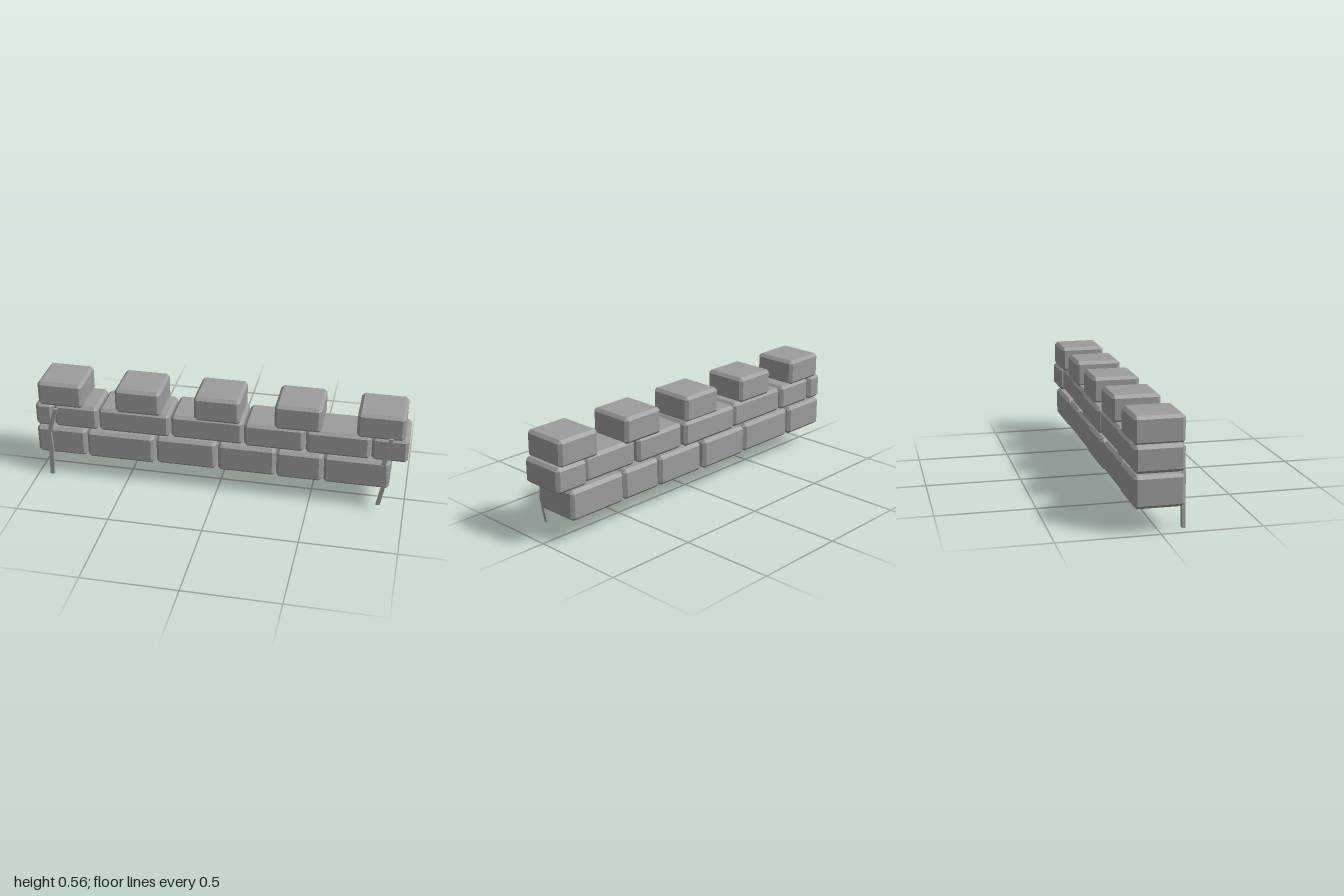
import * as THREE from 'three';
import { ConvexGeometry } from 'three/addons/geometries/ConvexGeometry.js';

const stone = new THREE.MeshStandardMaterial({ color: 0x9c9c9c });
stone.name = 'stoneGrey';

// Box with every edge and corner cut at 45 degrees
function chamferedBox(w, h, d, c) {
  const points = [];
  for (const sx of [-1, 1]) for (const sy of [-1, 1]) for (const sz of [-1, 1]) {
    for (let axis = 0; axis < 3; axis++) {
      const inset = [c, c, c];
      inset[axis] = 0;
      points.push(new THREE.Vector3(
        sx * (w / 2 - inset[0]), sy * (h / 2 - inset[1]), sz * (d / 2 - inset[2])));
    }
  }
  return new ConvexGeometry(points);
}

// Row of bricks, each [left, right, back, front]
function brickRow(name, y0, y1, bricks) {
  const row = new THREE.Group();
  row.name = name;
  bricks.forEach(([x0, x1, z0 = -0.13, z1 = 0.116], i) => {
    const brick = new THREE.Mesh(chamferedBox(x1 - x0, y1 - y0, z1 - z0, 0.016), stone);
    brick.position.set((x0 + x1) / 2, (y0 + y1) / 2, (z0 + z1) / 2);
    brick.name = `${name}Brick${i + 1}`;
    row.add(brick);
  });
  return row;
}

// Bent flat strip following a front-facing path
function strip(name, path) {
  const half = 0.011;
  const outline = [
    ...path.map(([x, y]) => new THREE.Vector2(x - half, y)),
    ...[...path].reverse().map(([x, y]) => new THREE.Vector2(x + half, y)),
  ];
  const geometry = new THREE.ExtrudeGeometry(new THREE.Shape(outline), { depth: 0.016, bevelEnabled: false });
  const mesh = new THREE.Mesh(geometry, stone);
  mesh.position.z = 0.118;
  mesh.name = name;
  return mesh;
}

export function createModel() {
  const wall = new THREE.Group();
  wall.name = 'brickWall';

  wall.add(brickRow('bottomRow', 0.125, 0.285, [
    [-1, -0.725], [-0.717, -0.347, -0.125, 0.12], [-0.335, -0.01, -0.133, 0.11],
    [0.003, 0.312, -0.125, 0.112], [0.318, 0.562, -0.125, 0.118], [0.57, 0.915, -0.13, 0.118],
  ]));

  wall.add(brickRow('middleRow', 0.293, 0.427, [
    [-1, -0.905], [-0.897, -0.655, -0.128, 0.112], [-0.647, -0.26, -0.122, 0.11],
    [-0.252, 0.135, -0.133, 0.105], [0.143, 0.46, -0.12, 0.114],
    [0.47, 0.805, -0.11, 0.118], [0.811, 1, -0.132, 0.116],
  ]));

  // Evenly spaced battlements
  const merlons = [];
  for (let i = 0; i < 5; i++) {
    const x = -0.855 + i * 0.427;
    merlons.push([x - 0.123, x + 0.123, -0.128, 0.121]);
  }
  wall.add(brickRow('topRow', 0.42, 0.56, merlons));

  // Bent strips hanging on the front
  wall.add(strip('rightStrip', [[-0.88, 0.412], [-0.926, 0.26], [-0.92, 0.175], [-0.927, 0]]));
  wall.add(strip('leftStrip', [[0.91, 0.437], [0.881, 0.29], [0.892, 0.175], [0.866, 0.033]]));

  return wall;
}
